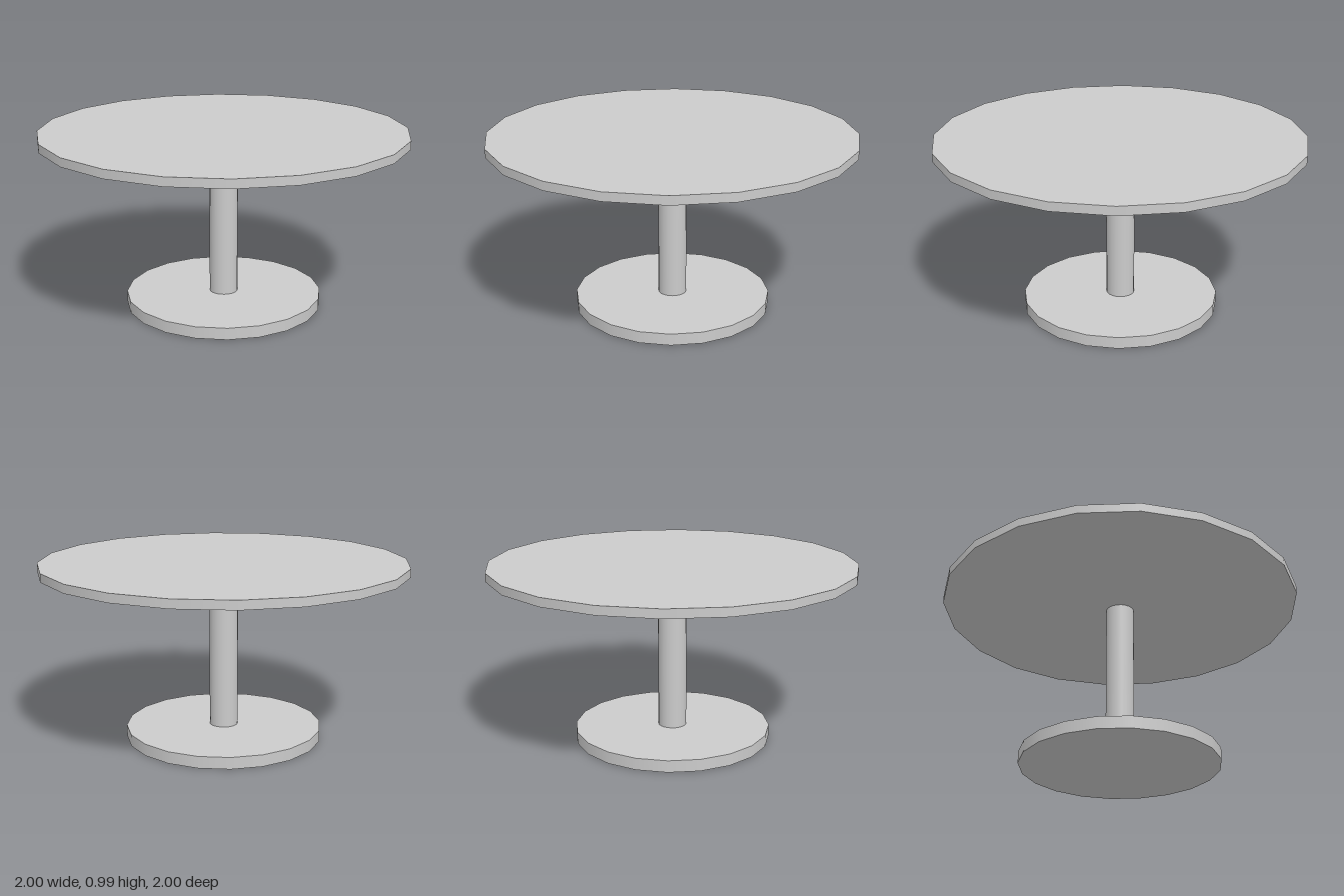
import * as THREE from 'three';

const SIDES = 20;

// Upright 20-sided disc or post between two heights
function addRound(group, name, radius, bottom, top, material) {
  const geometry = new THREE.CylinderGeometry(radius, radius, top - bottom, SIDES);
  const mesh = new THREE.Mesh(geometry, material);
  mesh.name = name;
  mesh.position.y = (bottom + top) / 2;
  group.add(mesh);
}

export function createModel() {
  const table = new THREE.Group();
  table.name = 'pedestalTable';
  const grey = new THREE.MeshStandardMaterial({ color: 0xcccccc });

  addRound(table, 'base', 0.543, 0, 0.065, grey);
  addRound(table, 'column', 0.078, 0.065, 0.943, grey);
  addRound(table, 'tabletop', 1, 0.943, 0.99, grey);

  return table;
}
